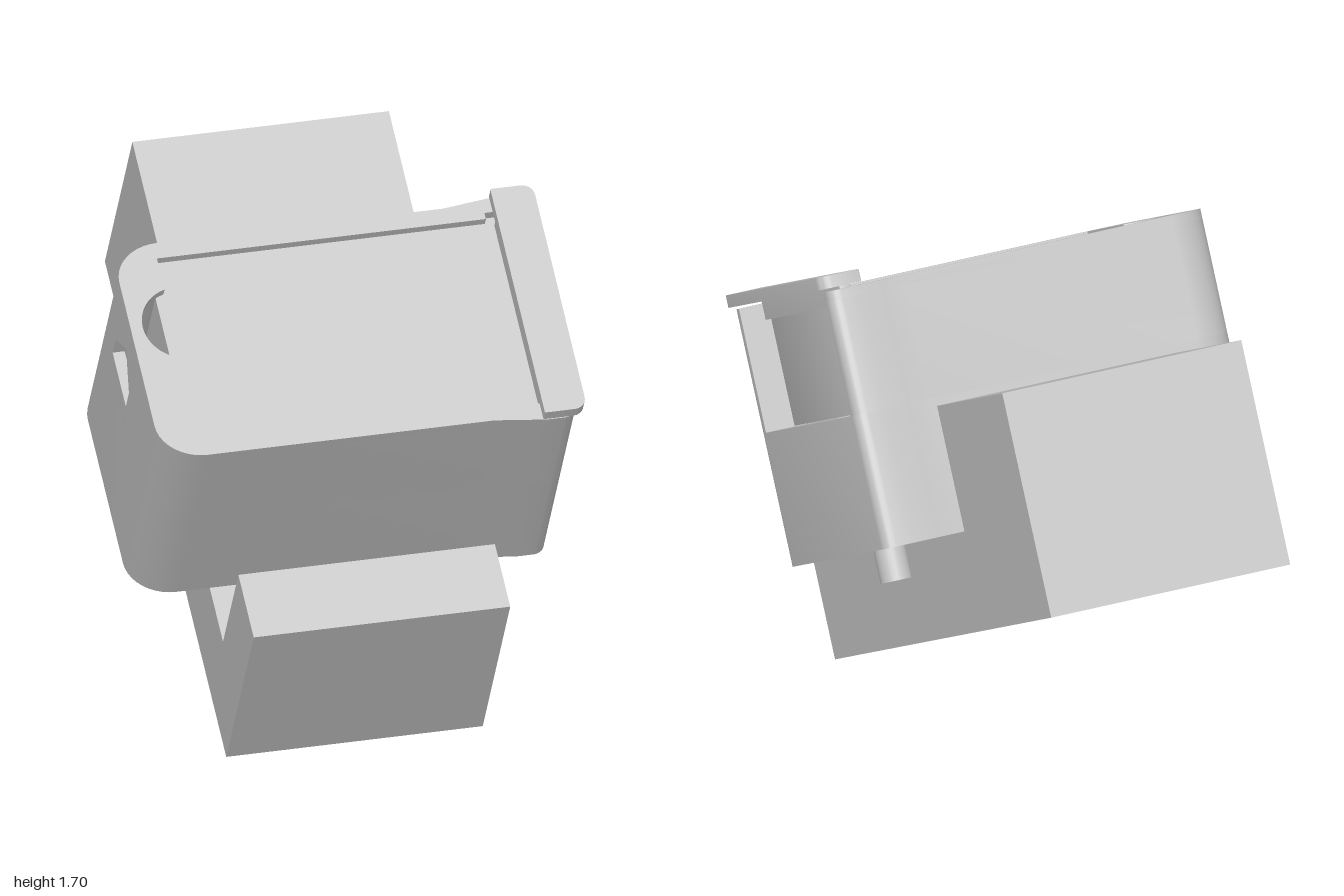
import * as THREE from 'three';
import { toCreasedNormals } from 'three/addons/utils/BufferGeometryUtils.js';

// Working frame: x across, "a" runs along the cradle (front to back), "b" is height above its underside.
const MID = 0.8455;   // centre of the case along a
const PORT = 0.943;   // contact pin axis along a
const PIN_X = 0.526, NOTCH = 0.134;
const FLOOR = 0.325, SEAM = 0.765, RIM = 1.143, TOP = 1.173;

const P = (x, a) => new THREE.Vector2(x, a);

// Points along an elliptical arc
function arc(cx, cy, rx, ry, from, to, n = 10) {
  return Array.from({ length: n + 1 }, (_, i) => {
    const t = from + (to - from) * i / n;
    return P(cx + rx * Math.cos(t), cy + ry * Math.sin(t));
  });
}

// Half of the case outline, from left to right; s is the distance from the middle
function outerHalf(sign) {
  return [
    ...arc(-0.55, 0.2725, 0.15, 0.13, Math.PI, Math.PI / 2),
    P(0.40, 0.4025), P(0.48, 0.412), P(0.57, 0.4225),
    ...arc(0.63, 0.3825, 0.04, 0.04, Math.PI / 2, 0, 6),
  ].map(p => P(p.x, MID + sign * p.y));
}

// One side wall with half of a round finger notch at the left end;
// "cut" is the distance from the notch axis at which the wall stops
function wallShape(sign, half, slotX, left, cut) {
  const d = sign * (PORT - MID);
  const t0 = Math.asin(cut / NOTCH), t1 = Math.acos((-PIN_X - left) / NOTCH);
  const inner = [
    P(0.67, 0.368), P(slotX, 0.368), P(slotX, half), P(left, half),
    ...arc(-PIN_X, d, NOTCH, NOTCH, Math.PI - t1, Math.PI - t0),
    P(-0.66, cut + d), P(-0.70, cut + d),
  ].map(p => P(p.x, MID + sign * p.y));
  return new THREE.Shape([...outerHalf(sign), ...inner]);
}

function roundedRect(x0, x1, a0, a1, rl, rr) {
  const h = Math.PI / 2;
  return new THREE.Shape([
    ...arc(x0 + rl, a0 + rl, rl, rl, 2 * h, 3 * h, 6),
    ...arc(x1 - rr, a0 + rr, rr, rr, 3 * h, 4 * h, 6),
    ...arc(x1 - rr, a1 - rr, rr, rr, 0, h, 6),
    ...arc(x0 + rl, a1 - rl, rl, rl, h, 2 * h, 6),
  ]);
}

export function createModel() {
  const grey = new THREE.MeshStandardMaterial({ color: 0xc4c4c4 });
  grey.name = 'plain grey';

  const model = new THREE.Group();
  model.name = 'caseInTiltedCradle';
  const tilt = new THREE.Group();
  tilt.name = 'tiltedAssembly';
  tilt.rotation.x = Math.PI / 6;
  tilt.position.z = 0.63;
  model.add(tilt);

  function add(name, geometry, parent = tilt) {
    const mesh = new THREE.Mesh(geometry, grey);
    mesh.name = name;
    parent.add(mesh);
    return mesh;
  }
  const extrude = (shape, depth) => toCreasedNormals(
    new THREE.ExtrudeGeometry(shape, { depth, bevelEnabled: false }), 0.6);
  // Plan outline (x, a) raised from height b0 to b1
  const slab = (shape, b0, b1) => extrude(shape, b1 - b0).rotateX(-Math.PI / 2).translate(0, b0, 0);
  // Side outline (a, b) swept from x0 to x1
  const sweep = (shape, x0, x1) => extrude(shape, x1 - x0).rotateY(Math.PI / 2).translate(x0, 0, 0);

  // Cradle: a U-shaped block with a thick back
  add('cradle', sweep(new THREE.Shape([
    P(0, 0), P(1.884, 0), P(1.884, 0.739), P(1.316, 0.739),
    P(1.316, 0.325), P(0.238, 0.325), P(0.238, 0.739), P(0, 0.739),
  ]), -0.44, 0.41));

  const box = new THREE.Group();
  box.name = 'case';
  tilt.add(box);

  // Solid lower case with two six-sided pin holes
  const lower = new THREE.Shape([...outerHalf(-1), ...outerHalf(1).reverse()]);
  for (const s of [-1, 1]) {
    lower.holes.push(new THREE.Path(arc(s * PIN_X, PORT, 0.095, 0.095, 0, Math.PI * 5 / 3, 5)));
  }
  add('lowerCase', slab(lower, FLOOR, SEAM), box);

  // Upper walls, open at the right end, with an overhanging rail along the top
  for (const [side, sign] of [['front', -1], ['back', 1]]) {
    add(side + 'Wall', slab(wallShape(sign, 0.368, 0.6, -0.59, 0.11), SEAM, RIM), box);
    add(side + 'Rail', slab(wallShape(sign, 0.345, 0.53, -0.56, 0), RIM, TOP), box);
  }

  // Thin left wall with a house-shaped opening
  const end = new THREE.Shape([
    P(PORT - 0.11, SEAM), P(PORT + 0.11, SEAM), P(PORT + 0.11, RIM), P(PORT - 0.11, RIM)]);
  end.holes.push(new THREE.Path([
    P(PORT - 0.11 + 0.005, 0.862), P(PORT + 0.1, 0.862), P(PORT + 0.1, 0.945), P(PORT, 1.05), P(PORT - 0.105, 0.945)]));
  add('leftEndWall', sweep(end, -0.70, -0.66), box);

  // Contact pins poking out underneath
  for (const [side, s] of [['right', -1], ['left', 1]]) {
    add(side + 'Pin', new THREE.CylinderGeometry(0.052, 0.052, 0.545, 24), box)
      .position.set(s * PIN_X, 0.4875, -PORT);
  }

  // Sliding insert that fills the cavity, with its raised end grip
  const lid = new THREE.Group();
  lid.name = 'slidingInsert';
  tilt.add(lid);
  add('insertBody', slab(roundedRect(-0.588, 0.57, MID - 0.366, MID + 0.366, 0.05, 0.004), SEAM + 0.002, RIM - 0.002), lid);
  add('gripNeck', slab(roundedRect(0.56, 0.6, 0.505, 1.185, 0.004, 0.004), 1.12, 1.19), lid);
  add('endGrip', slab(roundedRect(0.555, 0.695, 0.42, 1.27, 0.004, 0.04), 1.183, 1.224), lid);

  return model;
}
